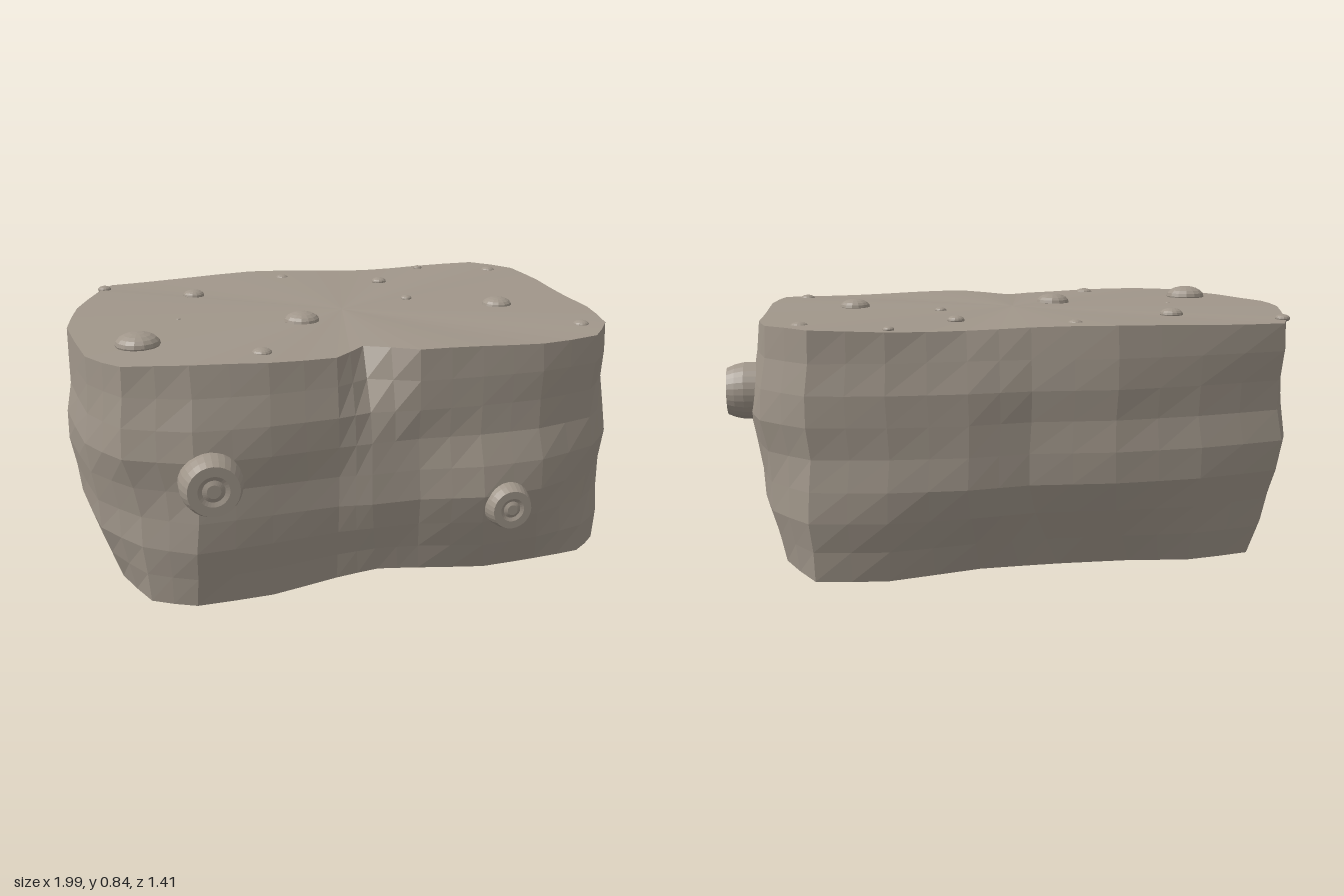
import * as THREE from 'three';

// Outlines (x, z pairs) of the rock from the base to the top, running
// along the front, the +x side, the back and the -x side.
const BASE = [
  -.77, .53, -.63, .60, -.38, .59, -.16, .57, -.02, .575, .12, .58, .36, .57, .56, .55, .73, .53,
  .83, .44, .85, .2, .84, -.02, .83, -.3, .82, -.5, .73, -.64,
  .5, -.64, .2, -.57, -.06, -.56, -.3, -.565, -.5, -.59, -.72, -.55,
  -.78, -.42, -.84, -.2, -.88, .03, -.85, .33];
const LOW = [
  -.79, .54, -.62, .64, -.38, .62, -.16, .60, -.05, .61, .11, .61, .32, .65, .53, .63, .74, .54,
  .85, .42, .88, .2, .89, -.02, .90, -.3, .86, -.5, .74, -.65,
  .5, -.69, .25, -.69, .05, -.66, -.22, -.68, -.5, -.67, -.78, -.61,
  -.84, -.48, -.94, -.22, -.98, .03, -.92, .37];
const HIGH = [
  -.83, .54, -.62, .63, -.38, .63, -.16, .61, -.05, .60, .11, .60, .32, .61, .53, .60, .74, .54,
  .85, .40, .89, .2, .90, -.02, .92, -.3, .88, -.5, .74, -.65,
  .5, -.69, .25, -.70, .05, -.68, -.22, -.70, -.5, -.67, -.79, -.61,
  -.85, -.48, -.94, -.22, -.98, .03, -.93, .37];
const TOP = [
  -.82, .53, -.62, .585, -.38, .60, -.16, .575, -.05, .48, .11, .59, .32, .59, .53, .585, .74, .54,
  .83, .42, .87, .2, .88, -.02, .89, -.3, .86, -.5, .73, -.65,
  .5, -.67, .25, -.65, .05, -.66, -.22, -.69, -.5, -.66, -.79, -.62,
  -.84, -.5, -.93, -.22, -.97, .03, -.92, .37];
const COLS = 50, ROWS = 8;

const rock = new THREE.MeshStandardMaterial({ color: 0xa0968a, flatShading: true });

// Height of the uneven base rim: it lifts at the front and on the +x side
function rimLift(x, z) {
  const front = z > 0.3 ? 0.045 * Math.exp(-((x / 0.22) ** 2)) : 0;
  const side = x > 0.7 ? 0.05 * Math.exp(-(((z + 0.4) / 0.2) ** 2)) : 0;
  return front + side;
}

function outline(flat, y, isBase) {
  const pts = [];
  for (let i = 0; i < flat.length; i += 2) {
    const lift = isBase ? rimLift(flat[i], flat[i + 1]) : 0;
    pts.push(new THREE.Vector3(flat[i], y + lift, flat[i + 1]));
  }
  return new THREE.CatmullRomCurve3(pts, true, 'catmullrom', 0.12);
}

// Rock body: rippled loft through the outlines, closed with fans
function bodyGeometry() {
  const loops = [outline(BASE, 0, true), outline(LOW, 0.27), outline(HIGH, 0.54), outline(TOP, 0.8)];
  const pos = [], index = [];
  for (let i = 0; i < COLS; i++) {
    const column = new THREE.CatmullRomCurve3(loops.map(l => l.getPoint(i / COLS)), false, 'catmullrom', 0.5);
    const phase = 11.2 - i / COLS * Math.PI * 4;
    for (let j = 0; j <= ROWS; j++) {
      const t = j / ROWS, p = column.getPoint(t);
      const ripple = 1 + 0.013 * Math.sin(Math.PI * t) * Math.sin(p.y / 0.36 * Math.PI * 2 + phase);
      if (j === ROWS) p.y += 0.006 * Math.sin(i * 0.75);
      pos.push(p.x * ripple, p.y, p.z * ripple);
    }
  }
  const low = COLS * (ROWS + 1), high = low + 1;
  pos.push(0, 0, 0, 0, 0.8, 0);
  for (let i = 0; i < COLS; i++) {
    const a = i * (ROWS + 1), b = ((i + 1) % COLS) * (ROWS + 1);
    for (let j = 0; j < ROWS; j++) {
      index.push(a + j, b + j, b + j + 1, a + j, b + j + 1, a + j + 1);
    }
    index.push(b, a, low, a + ROWS, b + ROWS, high);
  }
  const geo = new THREE.BufferGeometry();
  geo.setAttribute('position', new THREE.Float32BufferAttribute(pos, 3));
  geo.setIndex(index);
  geo.computeVertexNormals();
  return geo.toNonIndexed();
}

// Tapered knob with a shallow ring groove; the face lies at local y = 0
function knobGeometry(r) {
  const profile = [[1, -0.14], [1, -0.055], [0.93, -0.025], [0.82, 0], [0.5, 0], [0.36, -0.006], [0.22, 0], [0, 0]];
  return new THREE.LatheGeometry(profile.map(([k, y]) => new THREE.Vector2(k * r, y)), 28);
}

export function createModel() {
  const model = new THREE.Group();
  const add = (name, geo, x, y, z) => {
    const mesh = new THREE.Mesh(geo, rock);
    mesh.name = name;
    mesh.position.set(x, y, z);
    model.add(mesh);
    return mesh;
  };

  add('rockBody', bodyGeometry(), 0, 0, 0);

  // Knobs on the front and the +x side
  add('frontKnobLarge', knobGeometry(0.1), -0.575, 0.44, 0.71).rotation.x = Math.PI / 2;
  add('frontKnobSmall', knobGeometry(0.08), 0.405, 0.265, 0.695).rotation.x = Math.PI / 2;
  add('sideKnob', knobGeometry(0.094), 1, 0.565, -0.29).rotation.z = -Math.PI / 2;

  // Flattened pebbles on the top: x, z, radius
  const pebbles = [
    [-.75, .285, .074], [-.175, .125, .062], [.57, .068, .054], [-.495, -.348, .04],
    [-.38, .487, .033], [.255, -.41, .029], [-.11, -.565, .025], [-.82, -.53, .025],
    [.755, -.5, .028], [.745, .407, .028], [.275, -.105, .021], [.485, -.62, .018],
    [-.59, .005, .008], [.115, .505, .008]];
  for (const [x, z, r] of pebbles) {
    add('pebble', new THREE.SphereGeometry(r, 14, 10), x, 0.8, z).scale.y = 0.52;
  }
  return model;
}
